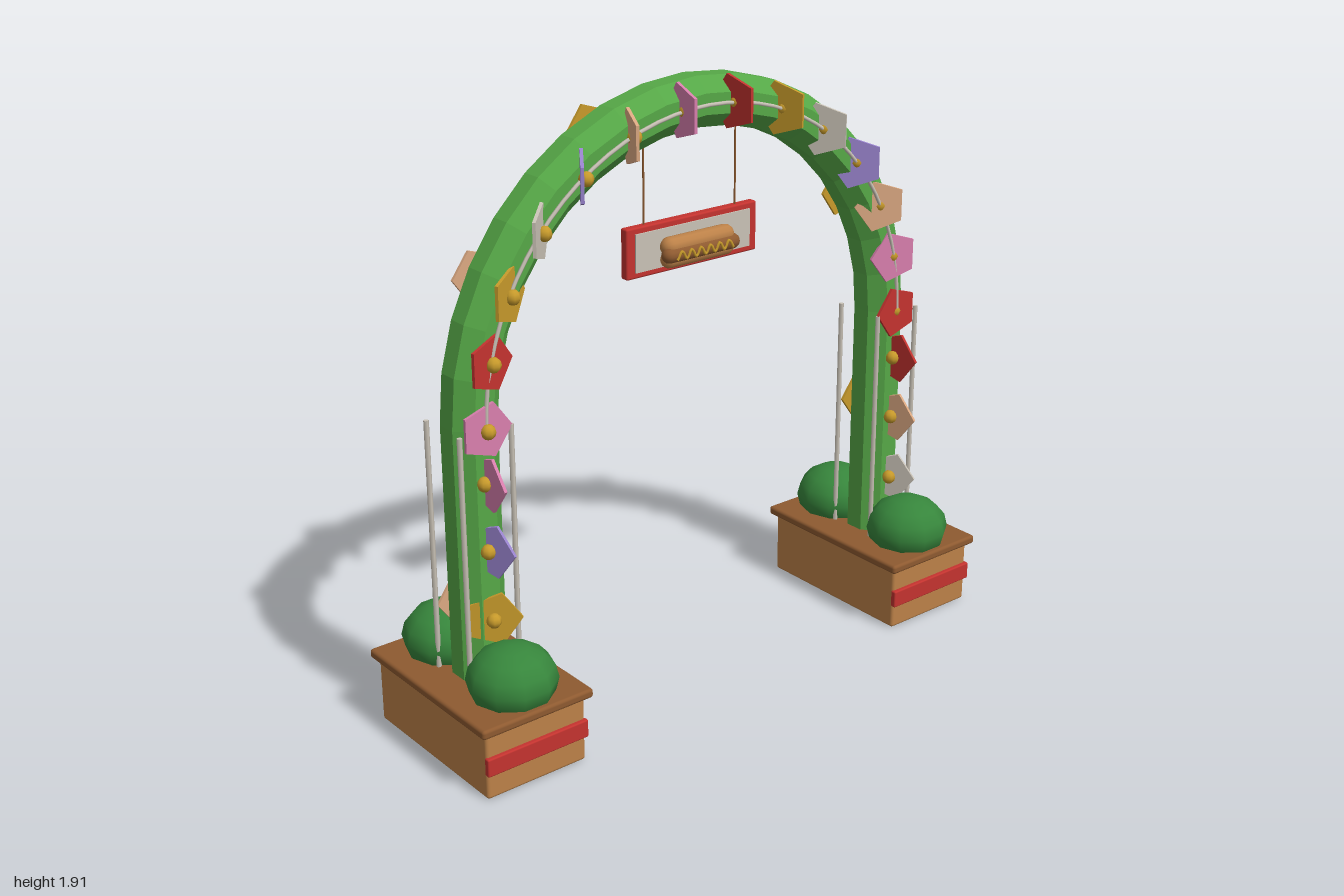
import * as THREE from 'three';
import { RoundedBoxGeometry } from 'three/addons/geometries/RoundedBoxGeometry.js';

const mat = (name, color) => {
  const m = new THREE.MeshStandardMaterial({ color });
  m.name = name;
  return m;
};

const LEG_X = 0.805, SPRING_Y = 1.03, R = 0.805, TUBE = 0.083;

// Split the faces so every facet shades flat
function flat(geometry) {
  const g = geometry.index ? geometry.toNonIndexed() : geometry;
  g.computeVertexNormals();
  return g;
}

export function createModel() {
  const leaf = mat('leaf green', 0x56a847);
  const bush = mat('bush green', 0x37863c);
  const wood = mat('warm wood', 0xbc8148);
  const darkWood = mat('dark wood', 0x8e5a30);
  const red = mat('red', 0xc4332f);
  const gold = mat('gold', 0xc79a2b);
  const pink = mat('pink', 0xd97fae);
  const cream = mat('cream', 0xc9c2b6);
  const purple = mat('purple', 0x9a84cf);
  const tan = mat('tan', 0xdca982);

  const model = new THREE.Group();
  model.name = 'gardenArch';

  const add = (parent, name, geometry, material, x = 0, y = 0, z = 0) => {
    const mesh = new THREE.Mesh(geometry, material);
    mesh.name = name;
    mesh.position.set(x, y, z);
    parent.add(mesh);
    return mesh;
  };

  // Octagonal hedge arch: swept half ring on two straight legs
  const octagon = [];
  for (let i = 0; i <= 8; i++) {
    const a = Math.PI / 8 + (i * Math.PI) / 4;
    octagon.push(new THREE.Vector2(R + TUBE * Math.cos(a), TUBE * Math.sin(a)));
  }
  const ring = new THREE.LatheGeometry(octagon, 18, -Math.PI / 2, Math.PI);
  ring.rotateX(-Math.PI / 2);
  add(model, 'archTop', flat(ring), leaf, 0, SPRING_Y, 0);

  const legGeo = new THREE.CylinderGeometry(TUBE, TUBE, SPRING_Y - 0.22, 8);
  legGeo.rotateY(Math.PI / 8);
  const legFlat = flat(legGeo);

  // Cords running along the front and back of the arch
  class ArcCurve extends THREE.Curve {
    getPoint(t, target = new THREE.Vector3()) {
      const a = t * Math.PI;
      return target.set(R * Math.cos(a), R * Math.sin(a), 0);
    }
  }
  const cordGeo = new THREE.TubeGeometry(new ArcCurve(), 40, 0.006, 6);
  for (const z of [0.088, -0.088]) add(model, 'archCord', cordGeo, cream, 0, SPRING_Y, z);

  // Planters with lid, stripe, bushes, leg and stakes
  const boxGeo = new RoundedBoxGeometry(0.345, 0.22, 0.58, 2, 0.01);
  const lidGeo = new RoundedBoxGeometry(0.385, 0.03, 0.62, 2, 0.01);
  const stripeGeo = new RoundedBoxGeometry(0.352, 0.058, 0.02, 2, 0.005);
  const bushGeo = new THREE.SphereGeometry(0.137, 10, 8);
  bushGeo.scale(1, 0.78, 1);
  const stakeGeo = new THREE.CylinderGeometry(0.008, 0.008, 0.8, 6);
  for (const s of [-1, 1]) {
    const side = new THREE.Group();
    side.name = s > 0 ? 'leftPlanter' : 'rightPlanter';
    side.position.x = s * 0.807;
    model.add(side);
    add(side, 'planterBox', boxGeo, wood, 0, 0.11, 0);
    add(side, 'planterRim', lidGeo, darkWood, 0, 0.225, 0);
    add(side, 'planterStripe', stripeGeo, red, 0, 0.11, 0.293);
    add(side, 'archLeg', legFlat, leaf, s * (LEG_X - 0.807), (SPRING_Y + 0.22) / 2, 0);
    for (const z of [-1, 1]) {
      add(side, 'bush', bushGeo, bush, 0, 0.285, z * 0.174);
      for (const x of [-1, 1]) add(side, 'stake', stakeGeo, cream, x * 0.086, 0.63, z * 0.086);
    }
  }

  // Five-sided flowers with a round centre on their local +z side
  const petalGeo = new THREE.CylinderGeometry(0.086, 0.086, 0.01, 5);
  petalGeo.rotateX(Math.PI / 2);
  petalGeo.rotateZ(Math.PI / 2); // one corner toward an x direction
  petalGeo.computeBoundingBox();
  if (petalGeo.boundingBox.max.x < 0.08) petalGeo.rotateZ(Math.PI);
  const petalFlat = flat(petalGeo);
  const centreGeo = new THREE.SphereGeometry(0.023, 8, 6);
  const flower = (x, y, z, yaw, material, size = 1) => {
    const g = new THREE.Group();
    g.name = 'flower';
    g.position.set(x, y, z);
    g.rotation.y = yaw;
    g.scale.setScalar(size);
    add(g, 'petals', petalFlat, material);
    add(g, 'flowerCentre', centreGeo, gold, 0, 0, 0.012);
    model.add(g);
  };

  // Front flowers turning edge-on toward the crown
  const cycle = [pink, red, gold, cream, purple, tan];
  for (let i = 0; i < 14; i++) {
    const turn = (i * Math.PI) / 13;
    flower(-R * Math.cos(turn), SPRING_Y + R * Math.sin(turn), 0.086, turn, cycle[i % 6]);
  }
  // Front flowers on the legs: x side, height, yaw, colour
  for (const [s, y, yaw, m] of [
    [-1, 0.44, -0.5, gold], [-1, 0.66, -1.2, purple], [-1, 0.87, -1.54, pink],
    [1, 0.44, -1.05, cream], [1, 0.66, -1.3, tan], [1, 0.87, -1.4, red],
  ]) flower(s * LEG_X, y, 0.086, yaw, m);

  // Back flowers lying flat against the hedge
  [[29, gold], [68, tan], [112, gold], [151, tan]].forEach(([deg, m]) => {
    const a = THREE.MathUtils.degToRad(deg);
    flower(R * Math.cos(a), SPRING_Y + R * Math.sin(a), -0.088, Math.PI, m, 0.95);
  });
  flower(LEG_X + 0.015, 0.68, -0.088, Math.PI, gold, 0.95);
  flower(-LEG_X, 0.44, -0.088, Math.PI, tan, 0.95);

  // Hanging sign
  const sign = new THREE.Group();
  sign.name = 'hangingSign';
  sign.position.y = 1.412;
  model.add(sign);
  add(sign, 'signBoard', new RoundedBoxGeometry(0.5, 0.156, 0.03, 2, 0.006), red);
  add(sign, 'signPanel', new THREE.BoxGeometry(0.44, 0.118, 0.008), cream, 0, 0, 0.016);
  const ropeGeo = new THREE.CylinderGeometry(0.003, 0.003, 0.3, 6);
  for (const x of [-0.175, 0.175]) add(sign, 'signRope', ropeGeo, darkWood, x, 0.22, 0);

  // Hot dog: two bun halves, sausage and a wavy mustard line
  const capsule = (radius, length) => {
    const g = new THREE.CapsuleGeometry(radius, length - 2 * radius, 6, 12);
    g.rotateZ(Math.PI / 2);
    return g;
  };
  add(sign, 'upperBun', capsule(0.03, 0.27), wood, 0, 0.005, 0.035);
  add(sign, 'lowerBun', capsule(0.026, 0.27), wood, 0, -0.035, 0.035);
  add(sign, 'sausage', capsule(0.024, 0.29), darkWood, 0, -0.016, 0.052);
  const wave = [];
  for (let i = 0; i <= 12; i++) {
    wave.push(new THREE.Vector3(-0.108 + i * 0.018, -0.016 + (i % 2 ? 0.012 : -0.012), 0.074));
  }
  add(sign, 'mustard', new THREE.TubeGeometry(new THREE.CatmullRomCurve3(wave), 60, 0.005, 6), gold);

  return model;
}
